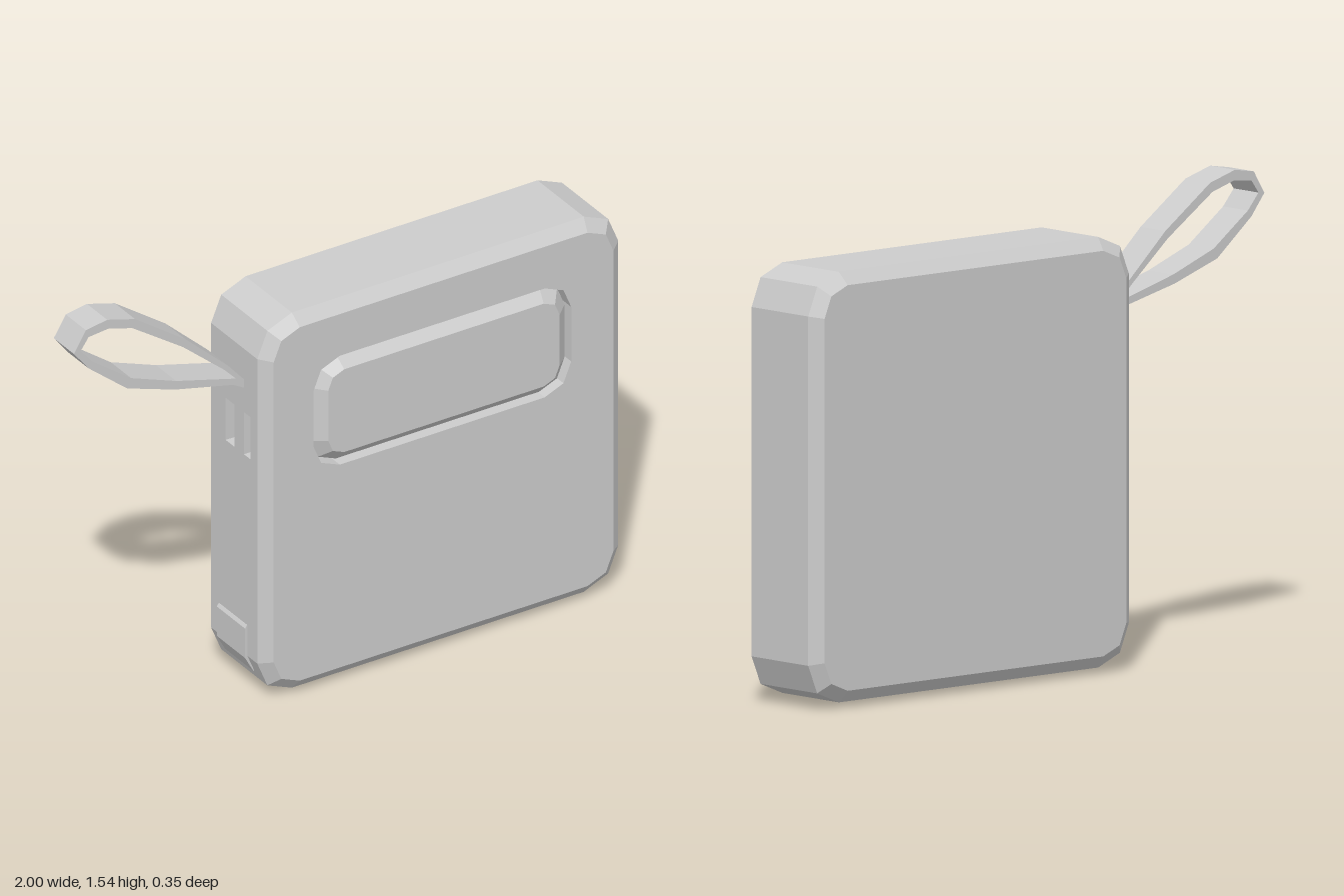
import * as THREE from 'three';

const mat = new THREE.MeshStandardMaterial({ color: 0xcccccc, flatShading: true });
const matBoth = new THREE.MeshStandardMaterial({ color: 0xcccccc, flatShading: true, side: THREE.DoubleSide });

function add(parent, name, geometry, material = mat) {
  const mesh = new THREE.Mesh(geometry, material);
  mesh.name = name;
  parent.add(mesh);
  return mesh;
}

// Counter-clockwise rectangle with two-facet corners, starting at the bottom right corner
function outline(w, h, r, cx = 0, cy = 0) {
  const points = [];
  for (let corner = 0; corner < 4; corner++) {
    const sx = corner === 0 || corner === 1 ? 1 : -1;
    const sy = corner === 1 || corner === 2 ? 1 : -1;
    for (let k = 0; k < 3; k++) {
      const a = (corner - 1) * Math.PI / 2 + k * Math.PI / 4;
      points.push(new THREE.Vector2(
        cx + sx * (w / 2 - r) + r * Math.cos(a),
        cy + sy * (h / 2 - r) + r * Math.sin(a)));
    }
  }
  return points;
}

// Skin between closed outlines, each given as [points, z]
function loft(rings) {
  const pos = [];
  for (let k = 0; k + 1 < rings.length; k++) {
    const [lo, z0] = rings[k], [hi, z1] = rings[k + 1];
    lo.forEach((a, i) => {
      const j = (i + 1) % lo.length, b = lo[j], c = hi[j], d = hi[i];
      pos.push(a.x, a.y, z0, b.x, b.y, z0, c.x, c.y, z1);
      pos.push(a.x, a.y, z0, c.x, c.y, z1, d.x, d.y, z1);
    });
  }
  const g = new THREE.BufferGeometry();
  g.setAttribute('position', new THREE.Float32BufferAttribute(pos, 3));
  g.computeVertexNormals();
  return g;
}

function cap(points, z, hole) {
  const shape = new THREE.Shape(points);
  if (hole) shape.holes.push(new THREE.Path(hole));
  return new THREE.ShapeGeometry(shape).translate(0, 0, z);
}

function rect(cx, cy, w, h) {
  const x = w / 2, y = h / 2;
  return [[-x, -y], [x, -y], [x, y], [-x, y]].map(([a, b]) => new THREE.Vector2(cx + a, cy + b));
}

// Flat side wall over one outline edge, with sockets [name, u, z, width, height, depth]
function wall(parent, a, b, z0, z1, sockets) {
  const u = new THREE.Vector3(b.x - a.x, b.y - a.y, 0);
  const length = u.length();
  u.normalize();
  const v = new THREE.Vector3(0, 0, 1);
  const m = new THREE.Matrix4().makeBasis(u, v, new THREE.Vector3().crossVectors(u, v)).setPosition(a.x, a.y, 0);
  const shape = new THREE.Shape(rect(length / 2, (z0 + z1) / 2, length, z1 - z0));
  for (const [name, cu, cv, w, h, depth] of sockets) {
    shape.holes.push(new THREE.Path(rect(cu, cv, w, h)));
    const box = new THREE.BoxGeometry(w, h, depth);
    const index = Array.from(box.index.array);
    index.splice(24, 6); // leave the mouth open
    box.setIndex(index);
    add(parent, name, box.translate(cu, cv, -depth / 2).applyMatrix4(m), matBoth);
  }
  add(parent, 'sideWall', new THREE.ShapeGeometry(shape).applyMatrix4(m));
}

function extrudeZ(coords, z0, z1, hole) {
  const toVec = ([x, y]) => new THREE.Vector2(x, y);
  const shape = new THREE.Shape(coords.map(toVec));
  if (hole) shape.holes.push(new THREE.Path(hole.map(toVec)));
  return new THREE.ExtrudeGeometry(shape, { depth: z1 - z0, bevelEnabled: false }).translate(0, 0, z0);
}

export function createModel() {
  const model = new THREE.Group();
  model.name = 'powerBank';

  // Case: walls, bevelled rims, back and front faces
  const body = new THREE.Group();
  body.name = 'case';
  body.position.set(0.32, 0.706, 0);
  model.add(body);
  const W = 1.36, H = 1.378, R = 0.13, inset = 0.04;
  const outer = outline(W, H, R);
  const face = outline(W - 2 * inset, H - 2 * inset, R - inset * 0.8);
  const zBack = -0.17, zBackRim = -0.137, zFrontRim = 0.132, zFront = 0.166;
  const sockets = {
    8: [['sideSlot', 0.31, -0.026, 0.155, 0.052, 0.07], ['sideSlot', 0.31, 0.074, 0.155, 0.04, 0.07]],
    11: [['chargingPort', 0.89, 0.02, 0.22, 0.07, 0.09]],
  };
  outer.forEach((a, i) => wall(body, a, outer[(i + 1) % 12], zBackRim, zFrontRim, sockets[i] || []));
  add(body, 'backBevel', loft([[face, zBack], [outer, zBackRim]]));
  add(body, 'frontBevel', loft([[outer, zFrontRim], [face, zFront]]));
  add(body, 'backFace', cap(face, 0, null).rotateY(Math.PI).translate(0, 0, zBack));

  // Screen, set into a recess in the front face
  const sx = -0.005, sy = 0.296, zFloor = 0.115;
  const recess = outline(0.972, 0.4, 0.1, sx, sy);
  const rim = outline(0.956, 0.384, 0.095, sx, sy);
  const top = outline(0.872, 0.304, 0.06, sx, sy);
  add(body, 'frontFace', cap(face, zFront, recess));
  add(body, 'screenRecess', loft([[recess, zFront], [recess, zFloor]]), matBoth);
  add(body, 'recessFloor', cap(recess, zFloor));
  add(body, 'screenEdge', loft([[rim, zFloor], [rim, 0.138], [top, 0.176]]));
  add(body, 'screen', cap(top, 0.176));

  // Button wrapped round the lower corner of the right side
  add(model, 'cornerButton', extrudeZ([
    [-0.35, 0.26], [-0.362, 0.26], [-0.369, 0.25], [-0.369, 0.142], [-0.338, 0.085], [-0.31, 0.09], [-0.34, 0.15],
  ], -0.09, 0.075));

  // Status light under the case
  const light = add(model, 'statusLight', new THREE.BoxGeometry(0.045, 0.03, 0.03));
  light.position.set(0.482, 0.015, 0.015);

  // Wrist strap: a flat ribbon loop
  add(model, 'wristStrap', extrudeZ([
    [-0.34, 1.11], [-0.4, 1.145], [-0.62, 1.198], [-0.8, 1.26], [-0.945, 1.38], [-1, 1.45], [-0.955, 1.523],
    [-0.875, 1.536], [-0.77, 1.505], [-0.58, 1.37], [-0.42, 1.222], [-0.34, 1.13],
  ], -0.064, 0.054, [
    [-0.39, 1.165], [-0.435, 1.212], [-0.59, 1.345], [-0.78, 1.475], [-0.87, 1.502], [-0.945, 1.495],
    [-0.975, 1.453], [-0.93, 1.4], [-0.785, 1.293], [-0.615, 1.228],
  ]));

  return model;
}
